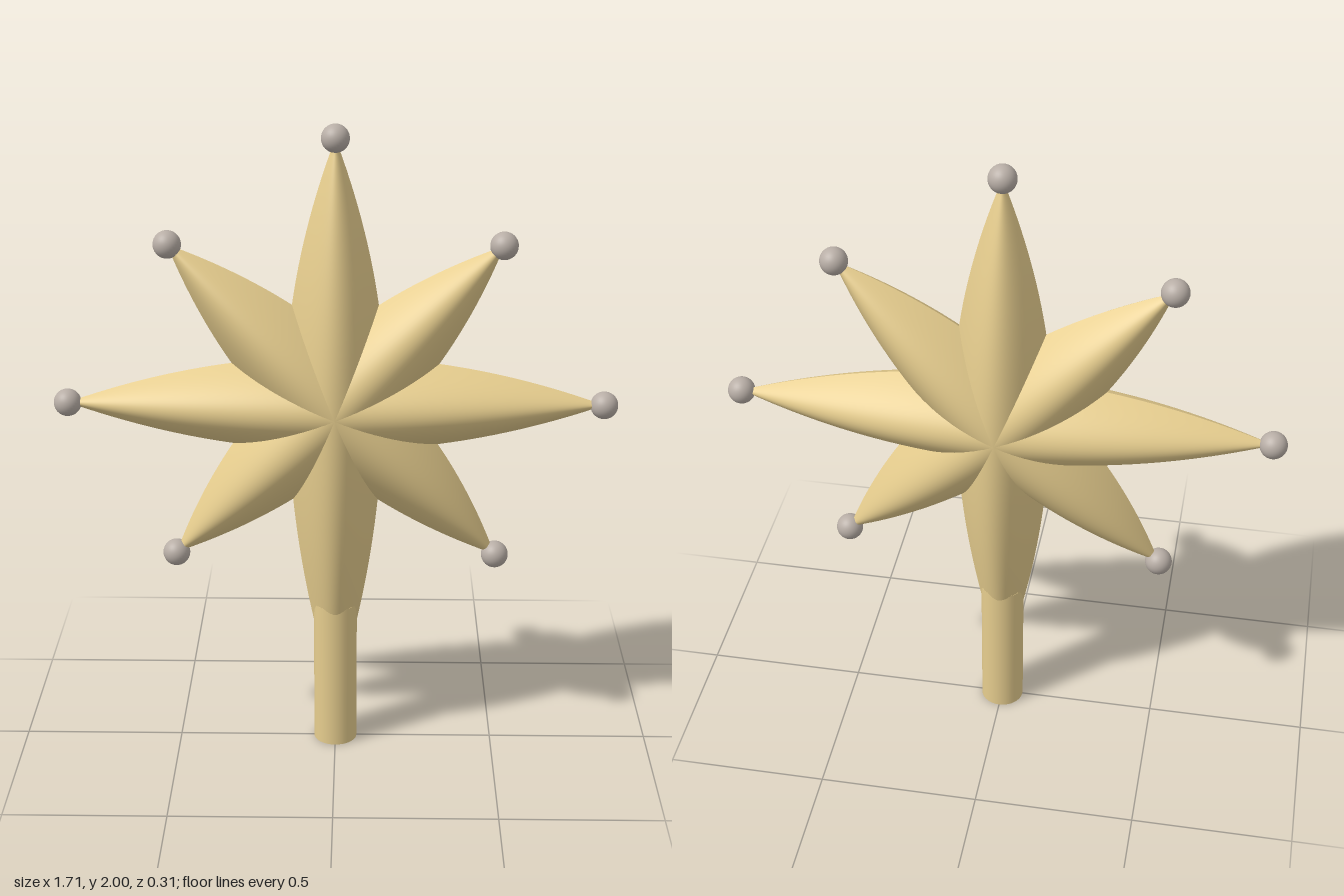
import * as THREE from 'three';
import { mergeGeometries } from 'three/addons/utils/BufferGeometryUtils.js';

const CENTER_Y = 1.145;   // hub of the star
const DEPTH = 0.157;      // half thickness at the hub

// One ray along +y: two domed sheets that meet in a sharp rim at z = 0.
// Width and height taper along parabolas that vanish at widthEnd and heightEnd.
function rayGeometry(length, halfWidth, widthEnd = length, heightEnd = length) {
  const front = new THREE.PlaneGeometry(2, 1, 24, 32);
  const p = front.attributes.position;
  for (let i = 0; i < p.count; i++) {
    const across = p.getX(i);
    const s = (p.getY(i) + 0.5) * length;
    const w = Math.max(0.008, halfWidth * (1 - (s / widthEnd) ** 2));
    const h = Math.max(0.008, DEPTH * (1 - (s / heightEnd) ** 2));
    p.setXYZ(i, across * w, s, h * (1 - across * across));
  }
  front.computeVertexNormals();
  const back = front.clone().rotateY(Math.PI);
  return mergeGeometries([front, back]);
}

export function createModel() {
  const group = new THREE.Group();
  const gold = new THREE.MeshStandardMaterial({ color: 0xe6cd8e });
  const silver = new THREE.MeshStandardMaterial({ color: 0xb8aea6 });

  const star = new THREE.Group();
  star.name = 'star';
  star.position.y = CENTER_Y;
  group.add(star);

  const longRay = rayGeometry(0.815, 0.152);
  const shortRay = rayGeometry(0.703, 0.162);
  const stemRay = rayGeometry(0.75, 0.145, 1.0, 0.903);
  const beadGeometry = new THREE.SphereGeometry(0.042, 32, 20);

  // Eight rays; the lowest blends into the stem, the others end in a bead
  for (let i = 0; i < 8; i++) {
    const angle = (i * Math.PI) / 4;
    const diagonal = i % 2 === 1;
    const isStem = i === 4;

    const ray = new THREE.Mesh(isStem ? stemRay : diagonal ? shortRay : longRay, gold);
    ray.name = isStem ? 'stemRay' : diagonal ? 'shortRay' : 'longRay';
    ray.rotation.z = angle;
    star.add(ray);

    if (isStem) continue;
    const bead = new THREE.Mesh(beadGeometry, silver);
    bead.name = 'tipBead';
    const reach = diagonal ? 0.703 : 0.815;
    bead.position.set(-Math.sin(angle) * reach, Math.cos(angle) * reach, 0);
    star.add(bead);
  }

  // Round stem below the star
  const stem = new THREE.Mesh(new THREE.CylinderGeometry(0.068, 0.068, 0.48, 40), gold);
  stem.name = 'stem';
  stem.position.y = 0.24;
  group.add(stem);

  return group;
}
